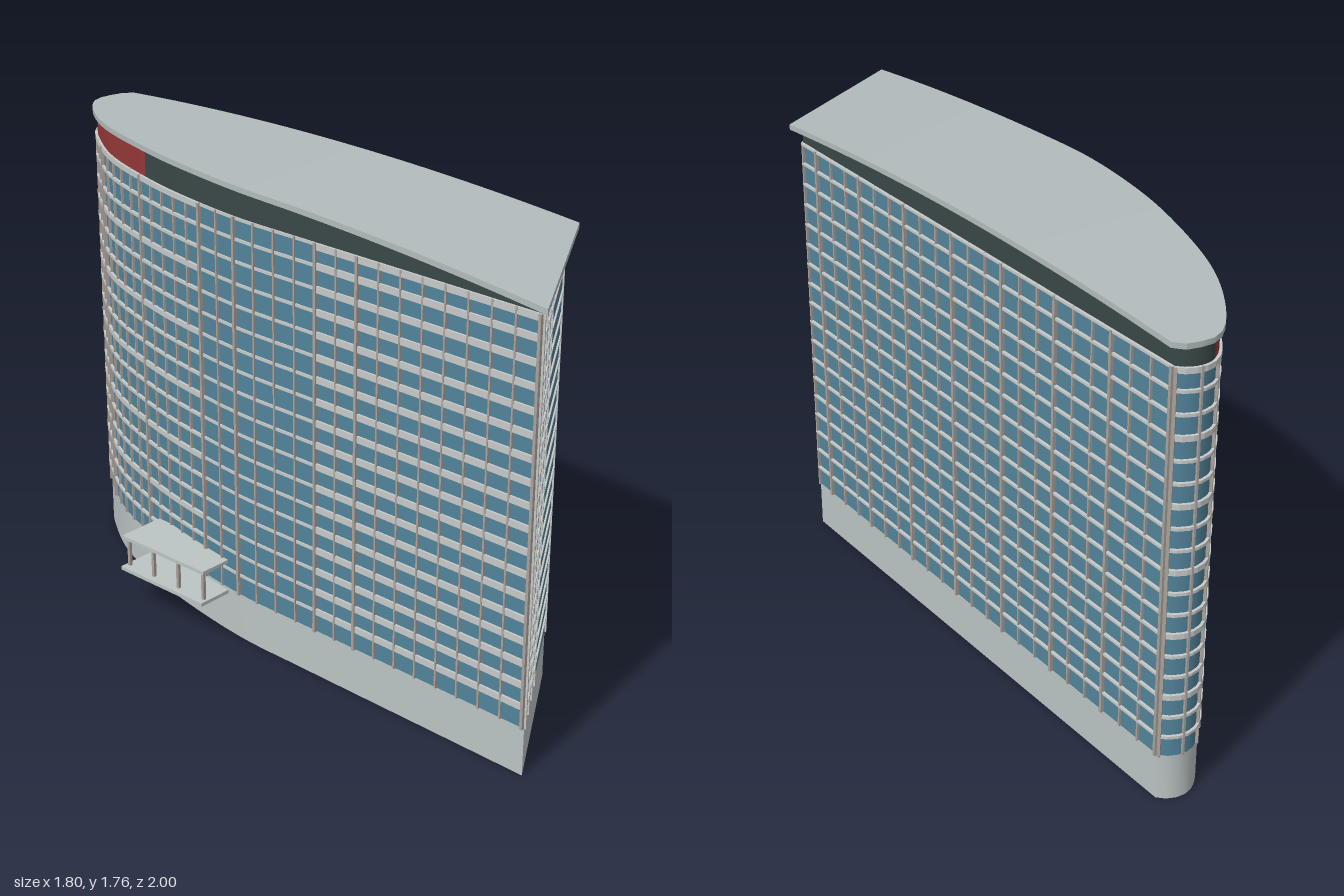
import * as THREE from 'three';
import { mergeGeometries, toCreasedNormals } from 'three/addons/utils/BufferGeometryUtils.js';

const BASE_TOP = 0.18, GLASS_TOP = 1.63, FLOORS = 18;
const STEP = (GLASS_TOP - BASE_TOP) / FLOORS;

function material(name, color, side = THREE.FrontSide) {
  const m = new THREE.MeshStandardMaterial({ color, side });
  m.name = name;
  return m;
}

const v = ([x, z]) => new THREE.Vector3(x, 0, z);
const line = (a, b) => new THREE.LineCurve3(v(a), v(b));

// Straight wall followed by a rounded nose
function frontCurve(corner, bend) {
  const path = new THREE.CurvePath();
  path.add(line(corner, bend[0]));
  path.add(new THREE.CatmullRomCurve3(bend.map(v)));
  return path;
}

// Points of a curve between two fractions of its length
function sub(curve, a, b, n) {
  return Array.from({ length: n + 1 }, (_, i) => curve.getPointAt(a + (b - a) * i / n));
}

// Fraction along the front curve at a given z (z falls steadily)
function atZ(curve, z) {
  let a = 0, b = 1;
  for (let i = 0; i < 30; i++) {
    const m = (a + b) / 2;
    if (curve.getPointAt(m).z > z) a = m; else b = m;
  }
  return a;
}

// Upright prism over a plan polygon
function prism(points, y0, y1) {
  const shape = new THREE.Shape(points.map(p => new THREE.Vector2(p.x, -p.z)));
  const g = new THREE.ExtrudeGeometry(shape, { depth: y1 - y0, bevelEnabled: false });
  return g.rotateX(-Math.PI / 2).translate(0, y0, 0);
}

// Ledge following a wall line
function ledge(points, y, height, depth) {
  const outer = points.map((p, i) => {
    const a = points[Math.max(i - 1, 0)], b = points[Math.min(i + 1, points.length - 1)];
    const t = b.clone().sub(a).normalize();
    return new THREE.Vector3(p.x + t.z * depth, 0, p.z - t.x * depth);
  });
  return prism([...points, ...outer.reverse()], y - height / 2, y + height / 2);
}

// Upright bar standing on a wall line
function bar(curve, t, width, depth) {
  const p = curve.getPointAt(t), d = curve.getTangentAt(t);
  return new THREE.BoxGeometry(width, GLASS_TOP - BASE_TOP, depth * 2)
    .rotateY(Math.atan2(d.z, -d.x))
    .translate(p.x, (BASE_TOP + GLASS_TOP) / 2, p.z);
}

function quads(list) {
  const pos = [];
  for (const [a, b, c, d] of list) for (const p of [a, b, c, a, c, d]) pos.push(p.x, p.y, p.z);
  const g = new THREE.BufferGeometry();
  g.setAttribute('position', new THREE.Float32BufferAttribute(pos, 3));
  g.computeVertexNormals();
  return g;
}

// Shallow vault along the length of the building
function roofHeight(p) {
  const u = 0.79 * p.x + 0.613 * p.z;
  return 1.757 - 0.036 * (u + 0.39) ** 2;
}

// Upright strip from the glass to the roof
function parapet(points, limit = 2) {
  const top = p => p.clone().setY(Math.min(roofHeight(p) - 0.018, limit));
  const low = p => p.clone().setY(GLASS_TOP);
  return toCreasedNormals(quads(points.slice(1).map((q, i) => {
    const p = points[i];
    return [low(q), low(p), top(p), top(q)];
  })), 0.5);
}

export function createModel() {
  const model = new THREE.Group();
  const stone = material('pale stone', 0xbcc4c4);
  const glass = material('blue glass', 0x52839a);
  const trim = material('light trim', 0xc6cac8);
  const metal = material('warm grey metal', 0xaaa29c);
  const dark = material('dark parapet', 0x3a4847, THREE.DoubleSide);
  const red = material('red panel', 0x963838, THREE.DoubleSide);
  const roofMat = material('roof grey', 0xb2bcbc);

  const add = (name, geometry, mat, parent = model) => {
    const mesh = new THREE.Mesh(geometry, mat);
    mesh.name = name;
    parent.add(mesh);
    return mesh;
  };

  // Plan lines, running front, back, end
  const front = frontCurve([0.78, 0.95], [[0, 0.335], [-0.23, 0.15], [-0.43, -0.05], [-0.58, -0.225],
    [-0.77, -0.5], [-0.85, -0.69], [-0.887, -0.83], [-0.88, -0.895], [-0.85, -0.933], [-0.81, -0.953], [-0.78, -0.955]]);
  const back = line([-0.78, -0.955], [0.855, 0.31]);
  const end = line([0.855, 0.31], [0.78, 0.95]);
  const bendAt = atZ(front, 0.335);
  const plan = [front.getPointAt(0), ...sub(front, bendAt, 1, 48), back.getPointAt(1)];

  // Main volumes
  add('base', toCreasedNormals(prism(plan, 0, BASE_TOP), 0.5), stone);
  add('glassWalls', toCreasedNormals(prism(plan, BASE_TOP, GLASS_TOP), 0.5), glass);

  // Floor bands: three front zones, the back and the end
  const zoneC = atZ(front, 0.375), zoneB = atZ(front, 0);
  const zones = [
    { name: 'frontRight', pts: sub(front, 0, zoneC, 1), height: () => 0.024, depth: 0.008 },
    { name: 'frontMiddle', pts: sub(front, zoneC, zoneB, 10), height: () => 0.011, depth: 0.005 },
    { name: 'frontNose', pts: sub(front, zoneB, 1, 36), height: i => (i % 3 ? 0.011 : 0.02), depth: 0.01 },
    { name: 'back', pts: sub(back, 0, 1, 1), height: () => 0.009, depth: 0.01 },
    { name: 'end', pts: sub(end, 0, 1, 1), height: () => 0.009, depth: 0.006 },
  ];
  for (const { name, pts, height, depth } of zones) {
    const bands = [];
    for (let i = 1; i <= FLOORS; i++) {
      const h = height(i);
      bands.push(ledge(pts, BASE_TOP + i * STEP - (i === FLOORS ? h / 2 : 0), h, depth));
    }
    add(name + 'FloorBands', mergeGeometries(bands), trim);
  }

  // Mullions, with heavier ones at intervals
  const mullions = (curve, a, b, n, every) => {
    const bars = [];
    for (let i = 0; i <= n; i++) {
      const heavy = i % every === 0;
      bars.push(bar(curve, a + (b - a) * i / n, heavy ? 0.011 : 0.007, heavy ? 0.013 : 0.009));
    }
    return mergeGeometries(bars);
  };
  add('frontRightMullions', mullions(front, 0.002, zoneC, 10, 8), metal);
  add('frontMiddleMullions', mullions(front, zoneC, zoneB, 6, 4), metal);
  add('noseMullions', mullions(front, zoneB, 0.998, 15, 5), metal);
  add('backMullions', mullions(back, 0.002, 0.998, 22, 3), metal);
  add('endMullions', mergeGeometries([0.003, 0.58, 0.72, 0.86, 0.997].map(t => bar(end, t, 0.007, 0.006))), trim);

  // Parapet with a red panel around the nose
  const redA = atZ(front, -0.27), redB = atZ(front, -0.88);
  add('frontParapet', parapet(sub(front, 0, redA, 30)), dark);
  add('redPanel', parapet(sub(front, redA, redB, 20)), red);
  add('noseParapet', parapet(sub(front, redB, 1, 10)), dark);
  add('backParapet', parapet(sub(back, 0, 1, 20), 1.708), dark);
  add('endParapet', parapet(sub(end, 0, 1, 6)), dark);

  // Vaulted roof slab, ruled between its front and back edges
  const N = 60;
  const eaves = frontCurve([0.79, 0.995], [[0, 0.375], [-0.23, 0.19], [-0.44, -0.02], [-0.59, -0.2],
    [-0.79, -0.5], [-0.87, -0.69], [-0.905, -0.85], [-0.897, -0.92], [-0.86, -0.965], [-0.82, -0.995], [-0.775, -1]]);
  const lift = (p, d) => p.clone().setY(roofHeight(p) - d);
  const F = sub(eaves, 0, 1, N), B = sub(line([0.9, 0.3], [-0.775, -1]), 0, 1, N);
  const T = 0.02, faces = [[lift(F[0], T), lift(B[0], T), lift(B[0], 0), lift(F[0], 0)]];
  for (let i = 0; i < N; i++) {
    const [f, g, b, c] = [F[i], F[i + 1], B[i], B[i + 1]];
    faces.push([lift(f, 0), lift(b, 0), lift(c, 0), lift(g, 0)]);
    faces.push([lift(f, T), lift(g, T), lift(c, T), lift(b, T)]);
    faces.push([lift(g, T), lift(f, T), lift(f, 0), lift(g, 0)]);
    faces.push([lift(b, T), lift(c, T), lift(c, 0), lift(b, 0)]);
  }
  add('roof', toCreasedNormals(quads(faces), 0.5), roofMat);

  // Entrance canopy: two slabs joined by posts; local z points away from the wall
  const canopy = new THREE.Group();
  canopy.name = 'canopy';
  canopy.position.set(-0.55, 0, 0.07);
  canopy.rotation.y = -0.653;
  model.add(canopy);
  const slab = (name, y, depth, out) =>
    add(name, new THREE.BoxGeometry(0.425, 0.014, depth), stone, canopy).position.set(0, y, out - depth / 2);
  slab('canopyFloor', 0.162, 0.2, 0);
  slab('canopyRoof', 0.287, 0.19, -0.012);
  for (let i = 0; i < 4; i++) {
    add('canopyPost', new THREE.BoxGeometry(0.012, 0.115, 0.012), metal, canopy)
      .position.set(-0.195 + i * 0.13, 0.224, -0.03);
  }
  return model;
}
